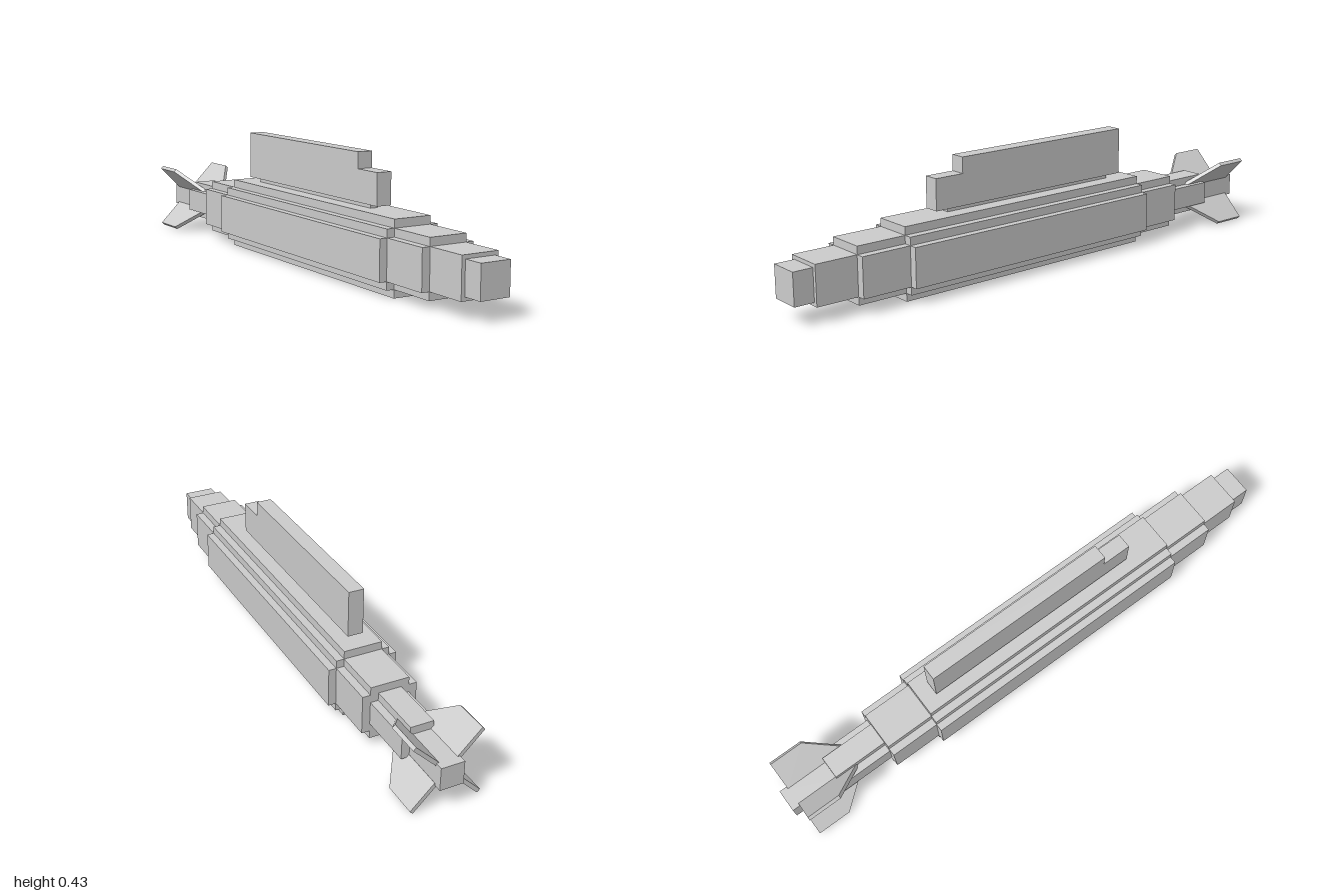
import * as THREE from 'three';

const material = new THREE.MeshStandardMaterial({ color: 0xcccccc, flatShading: true });
const AXIS_Y = 0.1255; // height of the hull's centreline

export function createModel() {
  const model = new THREE.Group();
  model.name = 'submarine';

  // Box from half-width, height range and length range
  function block(name, hx, y0, y1, z0, z1) {
    const mesh = new THREE.Mesh(new THREE.BoxGeometry(2 * hx, y1 - y0, z1 - z0), material);
    mesh.name = name;
    mesh.position.set(-0.001, (y0 + y1) / 2, (z0 + z1) / 2);
    model.add(mesh);
  }
  // Hull block centred on the centreline
  const hull = (name, hx, hy, z0, z1) => block(name, hx, AXIS_Y - hy, AXIS_Y + hy, z0, z1);

  // Middle hull: stepped cross-section of three crossing blocks
  hull('midHullWide', 0.124, 0.069, -0.44, 0.6);
  hull('midHullTall', 0.069, 0.1255, -0.44, 0.6);
  hull('midHullCore', 0.097, 0.097, -0.44, 0.6);

  // Shoulders: a smaller cross reaching out at both ends
  hull('shoulderWide', 0.097, 0.069, -0.62, 0.78);
  hull('shoulderTall', 0.069, 0.097, -0.62, 0.78);

  // Bow
  hull('bow', 0.068, 0.069, 0.78, 0.93);
  hull('noseTip', 0.055, 0.056, 0.93, 1);

  // Stern
  hull('sternWide', 0.069, 0.041, -0.82, -0.62);
  hull('sternTall', 0.041, 0.069, -0.82, -0.62);
  hull('tailTip', 0.041, 0.041, -1, -0.82);

  // Top structure: narrow base, long lower block, shorter upper block
  block('towerBase', 0.014, 0.251, 0.265, -0.335, 0.39);
  block('towerLower', 0.0275, 0.265, 0.375, -0.385, 0.445);
  block('towerUpper', 0.0275, 0.375, 0.431, -0.385, 0.335);

  // Four diagonal tail fins: outline in (radius, z), extruded to thickness
  const thickness = 0.014;
  const outline = new THREE.Shape([
    new THREE.Vector2(0.052, -0.972),
    new THREE.Vector2(0.166, -0.972),
    new THREE.Vector2(0.166, -0.848),
    new THREE.Vector2(0.052, -0.728),
  ]);
  const finGeometry = new THREE.ExtrudeGeometry(outline, { depth: thickness, bevelEnabled: false });
  finGeometry.translate(0, 0, -thickness / 2);
  finGeometry.rotateX(Math.PI / 2); // outline y becomes model z
  for (let i = 0; i < 4; i++) {
    const fin = new THREE.Mesh(finGeometry, material);
    fin.name = 'tailFin' + (i + 1);
    fin.position.set(-0.001, AXIS_Y, 0);
    fin.rotation.z = Math.PI / 4 + (i * Math.PI) / 2;
    model.add(fin);
  }

  return model;
}
